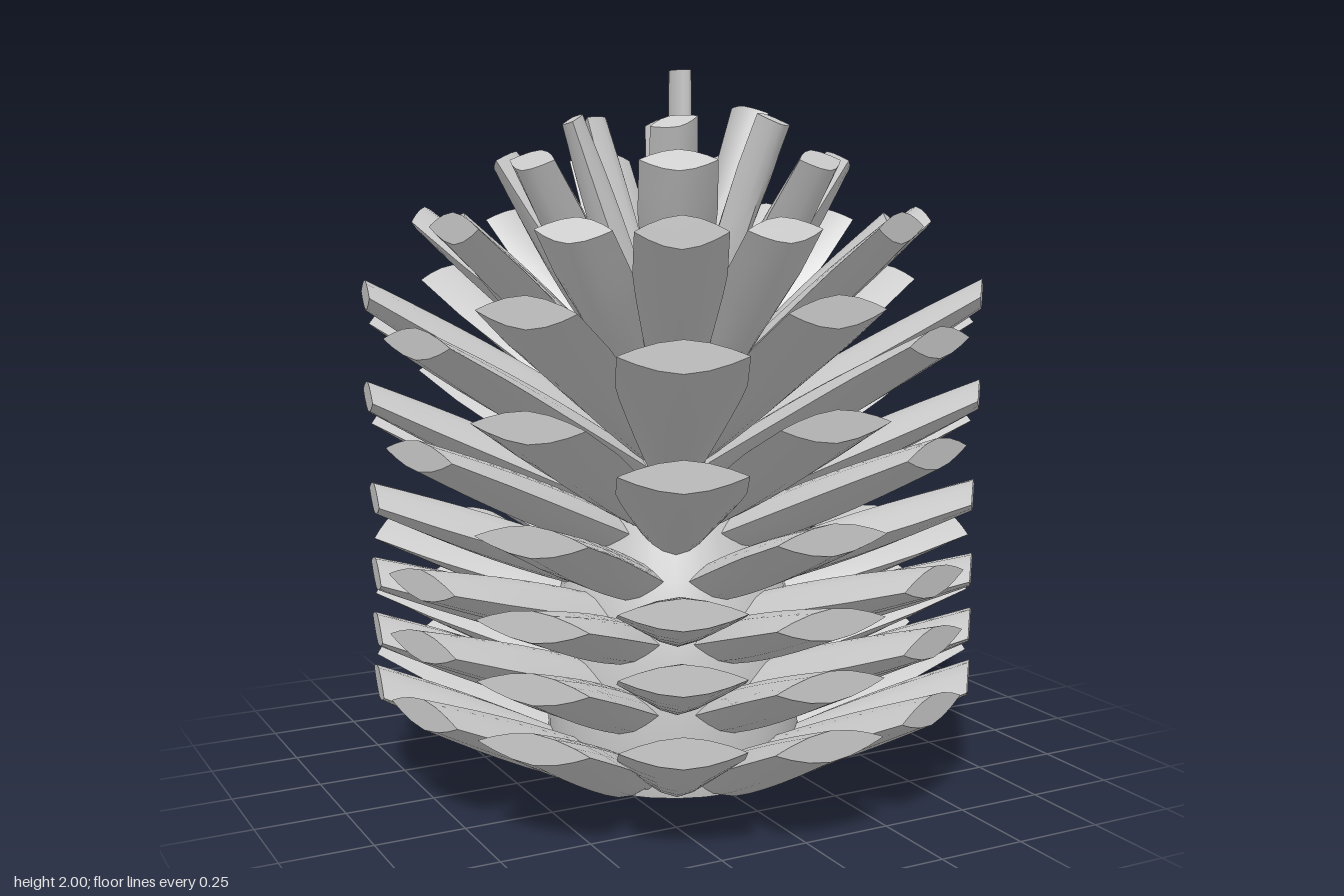
import * as THREE from 'three';
import { mergeVertices, toCreasedNormals } from 'three/addons/utils/BufferGeometryUtils.js';

const material = new THREE.MeshStandardMaterial({ color: 0xcccccc });
const SIDES = 16, STEPS = 10, RAD = Math.PI / 180;

// Relative width and thickness along a scale, from root to tip
const widthAt = t => 0.3 + 0.7 * Math.pow(Math.min(1, t / 0.78), 0.85) - 0.03 * Math.max(0, t - 0.78) / 0.22;
const topAt = t => 0.9 + 0.45 * Math.sin(t * Math.PI);
const bellyAt = t => 0.9 + 0.6 * Math.sin(t * Math.PI);

// One woody scale pointing along +z: a lens section swept from the axis to the tip.
// r, y: top of the tip; tilt: rise in degrees; w, h: half width and half thickness; roll: twist about its length
function scaleGeometry({ r, y, tilt, w, h = 0.053, roll = 0, root = 0.05 }) {
  const pos = [], index = [];
  const slope = Math.tan(tilt * RAD);
  // low scales end in an upright cut, steep ones in a square cut
  const lean = tilt < 40 ? 0 : (tilt - 8) * RAD;
  const cr = Math.cos(roll * RAD), sr = Math.sin(roll * RAD);
  const tipY = y - h * 0.75 * Math.cos(lean);
  const put = (t, s, v) => {
    const z = root + (r - root) * t;
    const side = s * cr - v * sr, up = s * sr + v * cr;
    pos.push(side, Math.max(0, tipY - (r - z) * slope + up * Math.cos(lean)), z - up * Math.sin(lean));
  };
  for (let i = 0; i <= STEPS; i++) {
    const t = i / STEPS;
    for (let j = 0; j < SIDES; j++) {
      const a = j / SIDES * Math.PI * 2, s = Math.cos(a);
      const bulge = 1 - Math.pow(Math.abs(s), 1.7);
      const v = Math.sin(a) > 0 ? 0.85 * topAt(t) : -0.9 * bellyAt(t);
      put(t, s * w * widthAt(t), v * h * bulge);
    }
  }
  for (let i = 0; i < STEPS; i++) for (let j = 0; j < SIDES; j++) {
    const k = (j + 1) % SIDES;
    const a = i * SIDES + j, b = i * SIDES + k, c = b + SIDES, d = a + SIDES;
    index.push(a, b, c, a, c, d);
  }
  // tip face
  put(1, 0, 0);
  const centre = pos.length / 3 - 1, last = STEPS * SIDES;
  for (let j = 0; j < SIDES; j++) index.push(centre, last + j, last + (j + 1) % SIDES);
  const g = new THREE.BufferGeometry();
  g.setAttribute('position', new THREE.Float32BufferAttribute(pos, 3));
  g.setIndex(index);
  return toCreasedNormals(mergeVertices(g), 40 * RAD);
}

function addScale(parent, geometry, degrees, name) {
  const m = new THREE.Mesh(geometry, material);
  m.rotation.y = degrees * RAD;
  m.name = name;
  parent.add(m);
}

export function createModel() {
  const cone = new THREE.Group();
  cone.name = 'pineCone';

  // Inner core with a flat foot
  const profile = [[0, 0], [0.35, 0], [0.37, 0.1], [0.36, 0.4], [0.31, 0.6], [0.22, 0.8], [0.12, 1.05], [0, 1.3]]
    .map(([x, y]) => new THREE.Vector2(x, y));
  const core = new THREE.Mesh(toCreasedNormals(new THREE.LatheGeometry(profile, 28), 40 * RAD), material);
  core.name = 'core';
  cone.add(core);

  // Rings of seven scales, alternating by half a step: [half step, radius, top, tilt, half width]
  const rings = [
    [0, 0.86, 0.335, 25, 0.165], [1, 0.86, 0.35, 25, 0.165],
    [0, 0.86, 0.49, 22, 0.165], [1, 0.86, 0.535, 20, 0.165],
    [0, 0.86, 0.65, 18, 0.165], [1, 0.86, 0.7, 17, 0.165],
    [0, 0.86, 0.865, 21, 0.165], [1, 0.86, 1.04, 24, 0.165],
    [0, 0.87, 1.15, 26, 0.165], [1, 0.86, 1.33, 29, 0.165],
    [0, 0.87, 1.43, 31, 0.145], [1, 0.74, 1.62, 39, 0.12],
    [0, 0.62, 1.61, 46, 0.115], [1, 0.49, 1.78, 57, 0.105],
  ];
  rings.forEach(([half, r, y, tilt, w], n) => {
    const ring = new THREE.Group();
    ring.name = 'scaleRing' + (n + 1);
    const g = scaleGeometry({ r, y, tilt, w });
    for (let i = 0; i < 7; i++) addScale(ring, g, (i + half / 2) * 360 / 7, 'scale');
    cone.add(ring);
  });

  // Loose crown of steep, twisted scales: [direction, radius, top, tilt, roll]
  const crown = new THREE.Group();
  crown.name = 'crown';
  [
    [-27, 0.33, 1.87, 68, 25], [40, 0.3, 1.88, 69, -25], [97, 0.27, 1.91, 72, 15],
    [-101, 0.29, 1.88, 71, -15], [-154, 0.28, 1.88, 72, 20], [156, 0.28, 1.88, 72, -20],
  ].forEach(([dir, r, y, tilt, roll]) => {
    addScale(crown, scaleGeometry({ r, y, tilt, w: 0.072, h: 0.04, roll, root: 0.03 }), dir, 'crownScale');
  });

  // Upright centre scale, seen edge-on from the front
  const centre = new THREE.Mesh(new THREE.CylinderGeometry(0.05, 0.055, 0.9, 12), material);
  centre.scale.x = 0.5;
  centre.position.set(-0.015, 1.55, 0.07);
  centre.name = 'centreScale';
  crown.add(centre);
  cone.add(crown);

  return cone;
}
